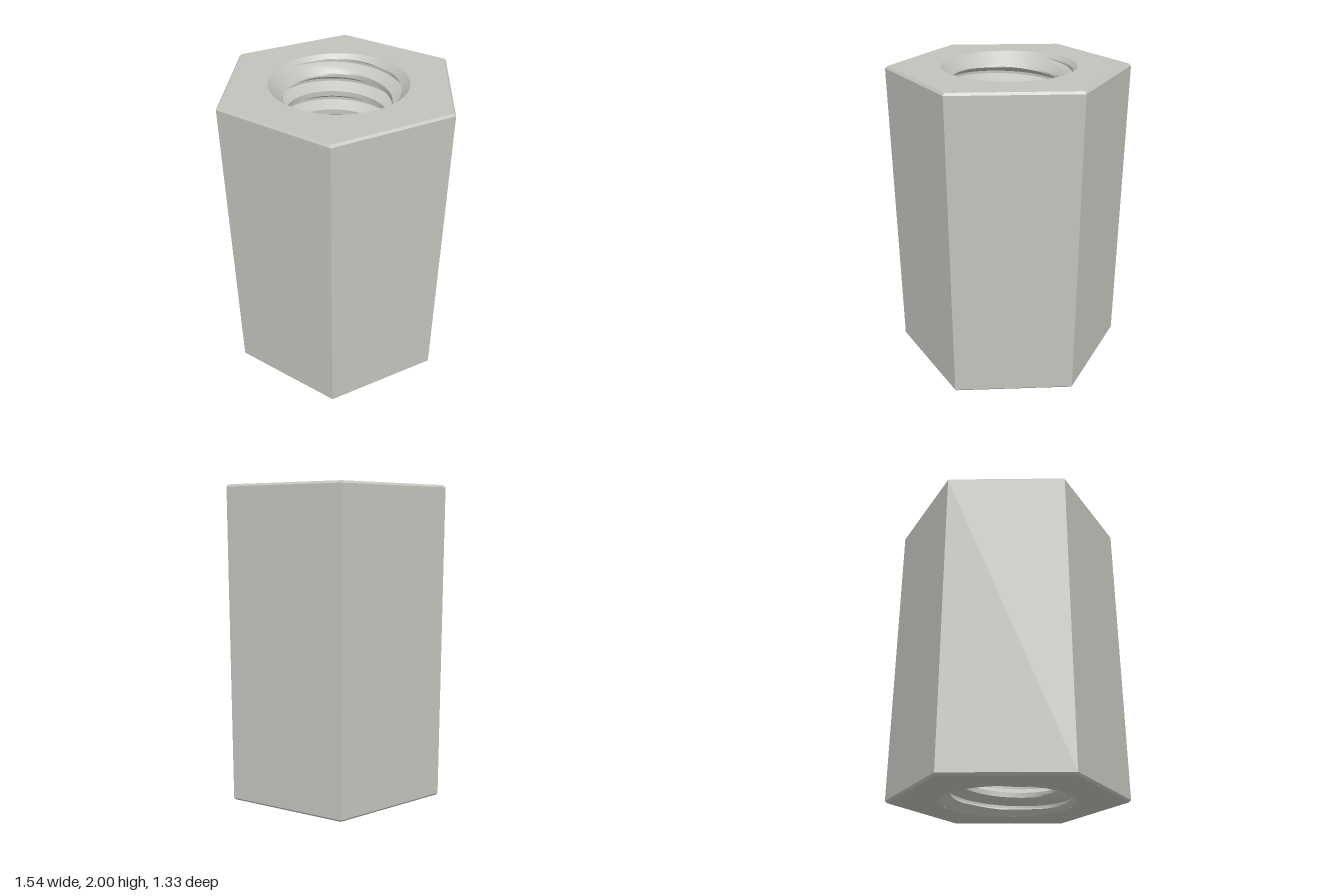
import * as THREE from 'three';
import { toCreasedNormals } from 'three/addons/utils/BufferGeometryUtils.js';

const HEIGHT = 2;
const CORNER = 0.77;      // hexagon corner radius
const CHAMFER = 0.014;
const MOUTH = 0.427;      // countersink radius at the end faces
const MAJOR = 0.4;        // thread root radius
const MINOR = 0.328;      // thread crest radius
const PITCH = 2 / 15;
const SEGMENTS = 96;

// One turn of the thread: [fraction of pitch, radius], from groove centre to groove centre
const PROFILE = [
  [0, MAJOR], [0.0625, MAJOR], [0.375, MINOR],
  [0.625, MINOR], [0.9375, MAJOR], [1, MAJOR],
];

// Outer hexagonal prism with small edge chamfers
function hexSides() {
  const inner = CORNER - CHAMFER;
  const points = [
    [inner, 0], [CORNER, CHAMFER], [CORNER, HEIGHT - CHAMFER], [inner, HEIGHT],
  ].map(([r, y]) => new THREE.Vector2(r, y));
  const geometry = new THREE.LatheGeometry(points, 6).toNonIndexed();
  geometry.rotateY(Math.PI / 6);
  geometry.computeVertexNormals();
  return geometry;
}

// Hexagonal end face with a round opening
function endFace() {
  const shape = new THREE.Shape();
  for (let i = 0; i < 6; i++) {
    const a = (i * Math.PI) / 3;
    const r = CORNER - CHAMFER;
    shape[i ? 'lineTo' : 'moveTo'](r * Math.cos(a), r * Math.sin(a));
  }
  shape.closePath();
  const hole = new THREE.Path();
  hole.absarc(0, 0, MOUTH, 0, Math.PI * 2, true);
  shape.holes.push(hole);
  return new THREE.ShapeGeometry(shape, SEGMENTS);
}

// Right-hand helical thread running into 45 degree countersinks
function threadedBore() {
  // Subdivide the profile so the countersinks cut it cleanly
  const steps = [];
  for (let i = 0; i < PROFILE.length - 1; i++) {
    const [t0, r0] = PROFILE[i];
    const [t1, r1] = PROFILE[i + 1];
    const n = i === 1 || i === 3 ? 6 : i === 2 ? 3 : 1;
    for (let k = 0; k < n; k++) {
      const f = k / n;
      steps.push([t0 + (t1 - t0) * f, r0 + (r1 - r0) * f]);
    }
  }

  const start = 1.938 - 17 * PITCH; // groove centre height at angle zero
  const column = (i) => {
    const angle = (i / SEGMENTS) * Math.PI * 2;
    const points = [];
    for (let turn = 0; turn < 19; turn++) {
      for (const [t, r] of steps) {
        const raw = start + (turn + t + i / SEGMENTS) * PITCH;
        const y = THREE.MathUtils.clamp(raw, 0, HEIGHT);
        const cone = MOUTH - Math.min(y, HEIGHT - y);
        const radius = y === raw ? Math.max(r, cone) : MOUTH;
        points.push(new THREE.Vector3(radius * Math.cos(angle), y, -radius * Math.sin(angle)));
      }
    }
    return points;
  };

  const positions = [];
  const triangle = new THREE.Triangle();
  const add = (a, b, c) => {
    if (triangle.set(a, b, c).getArea() < 1e-8) return;
    for (const p of [a, b, c]) positions.push(p.x, p.y, p.z);
  };
  for (let i = 0; i < SEGMENTS; i++) {
    const here = column(i);
    const next = column(i + 1);
    for (let j = 0; j < here.length - 1; j++) {
      add(here[j], here[j + 1], next[j]);
      add(here[j + 1], next[j + 1], next[j]);
    }
  }
  const geometry = new THREE.BufferGeometry();
  geometry.setAttribute('position', new THREE.Float32BufferAttribute(positions, 3));
  return toCreasedNormals(geometry, 0.45);
}

export function createModel() {
  const steel = new THREE.MeshStandardMaterial({ color: 0xc4c2bc });
  steel.name = 'steel';
  const group = new THREE.Group();
  group.name = 'couplingNut';
  const add = (name, geometry) => {
    const mesh = new THREE.Mesh(geometry, steel);
    mesh.name = name;
    group.add(mesh);
    return mesh;
  };

  add('hexSides', hexSides());
  add('topFace', endFace().rotateX(-Math.PI / 2)).position.y = HEIGHT;
  add('bottomFace', endFace().rotateX(Math.PI / 2));
  add('threadedBore', threadedBore());
  return group;
}
